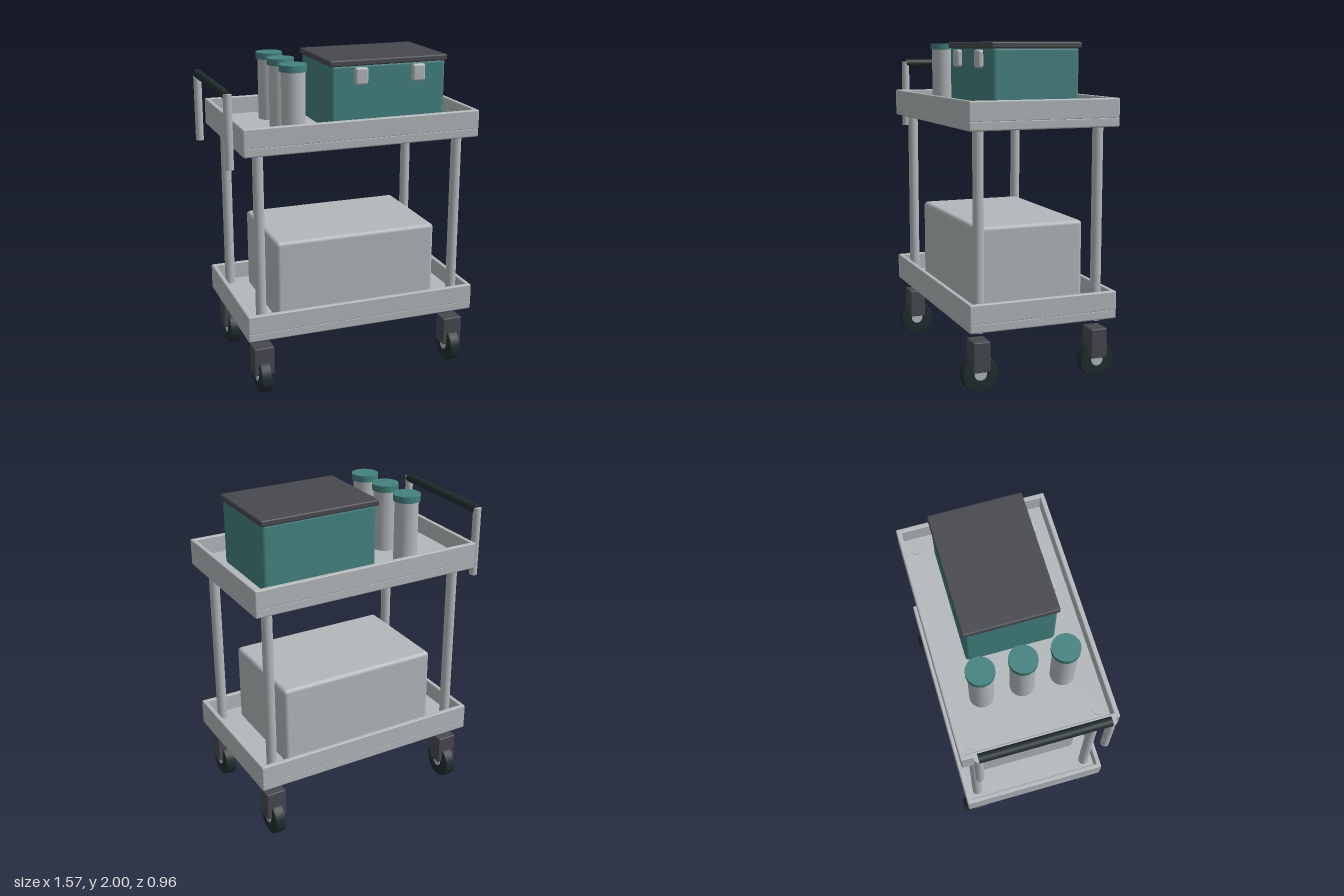
import * as THREE from 'three';
import { RoundedBoxGeometry } from 'three/addons/geometries/RoundedBoxGeometry.js';

const mat = (name, color) => {
  const m = new THREE.MeshStandardMaterial({ color });
  m.name = name;
  return m;
};

export function createModel() {
  const cart = new THREE.Group();
  cart.name = 'utilityCart';
  const grey = mat('paleGrey', 0xb4b8bb);
  const teal = mat('teal', 0x43827f);
  const dark = mat('charcoal', 0x47494f);
  const rubber = mat('blackRubber', 0x212d2e);

  const add = (name, geometry, material, x, y, z) => {
    const mesh = new THREE.Mesh(geometry, material);
    mesh.name = name;
    mesh.position.set(x, y, z);
    cart.add(mesh);
    return mesh;
  };
  // Rounded box given by its extents
  const box = (name, material, [x0, x1], [y0, y1], [z0, z1], r) =>
    add(name, new RoundedBoxGeometry(x1 - x0, y1 - y0, z1 - z0, 3, r), material,
      (x0 + x1) / 2, (y0 + y1) / 2, (z0 + z1) / 2);
  // Upright cylinder from y0 to y1
  const rod = (name, material, r, y0, y1, x, z) =>
    add(name, new THREE.CylinderGeometry(r, r, y1 - y0, 32), material, x, (y0 + y1) / 2, z);

  // Trays: slab with four raised rails
  const X0 = -0.7, X1 = 0.78, Z = 0.462, T = 0.03;
  for (const [name, y] of [['lowerTray', 0.375], ['upperTray', 1.515]]) {
    box(name, grey, [X0, X1], [y, y + 0.058], [-Z, Z], 0.01);
    const rail = [y + 0.05, y + 0.167];
    for (const s of [-1, 1]) {
      const z = s * (Z - T / 2);
      box(name + 'LongRail', grey, [X0, X1], rail, [z - T / 2, z + T / 2], 0.008);
    }
    for (const x of [X0, X1 - T]) {
      box(name + 'EndRail', grey, [x, x + T], rail, [-Z, Z], 0.008);
    }
  }

  // Posts and casters at the four corners
  for (const x of [-0.595, 0.675]) {
    for (const z of [-0.373, 0.373]) {
      rod('post', grey, 0.032, 0.35, 1.578, x, z);
      box('casterFork', dark, [x - 0.064, x + 0.064], [0.127, 0.308], [z - 0.052, z + 0.052], 0.008);
      const wheel = new THREE.LatheGeometry([
        [0.03, -0.036], [0.1, -0.036], [0.107, -0.033], [0.109, -0.027],
        [0.109, 0.027], [0.107, 0.033], [0.1, 0.036], [0.03, 0.036],
      ].map(([r, h]) => new THREE.Vector2(r, h)), 40);
      add('casterWheel', wheel, rubber, x, 0.109, z).rotation.z = Math.PI / 2;
      add('wheelHub', new THREE.CylinderGeometry(0.038, 0.038, 0.08, 24), grey, x, 0.112, z)
        .rotation.z = Math.PI / 2;
    }
  }

  // Push handle
  for (const z of [-0.373, 0.373]) {
    rod('handlePost', grey, 0.025, 1.435, 1.87, -0.76, z);
  }
  add('handleGrip', new THREE.CylinderGeometry(0.027, 0.027, 0.746, 24), rubber, -0.76, 1.86, 0)
    .rotation.x = Math.PI / 2;

  // Storage box on the lower tray
  box('storageBox', grey, [-0.48, 0.56], [0.425, 0.94], [-0.34, 0.34], 0.025);

  // Lidded chest with two latches
  box('chest', teal, [-0.107, 0.637], [1.565, 1.975], [-0.27, 0.27], 0.025);
  box('chestLid', dark, [-0.118, 0.645], [1.962, 2], [-0.281, 0.279], 0.01);
  for (const x of [0.078, 0.448]) {
    box('latch', grey, [x - 0.042, x + 0.042], [1.85, 1.955], [0.262, 0.302], 0.015);
  }

  // Row of three capped jars
  for (const z of [-0.241, 0, 0.241]) {
    rod('jar', grey, 0.072, 1.57, 1.955, -0.332, z);
    rod('jarCap', teal, 0.082, 1.952, 1.992, -0.332, z);
  }
  return cart;
}
